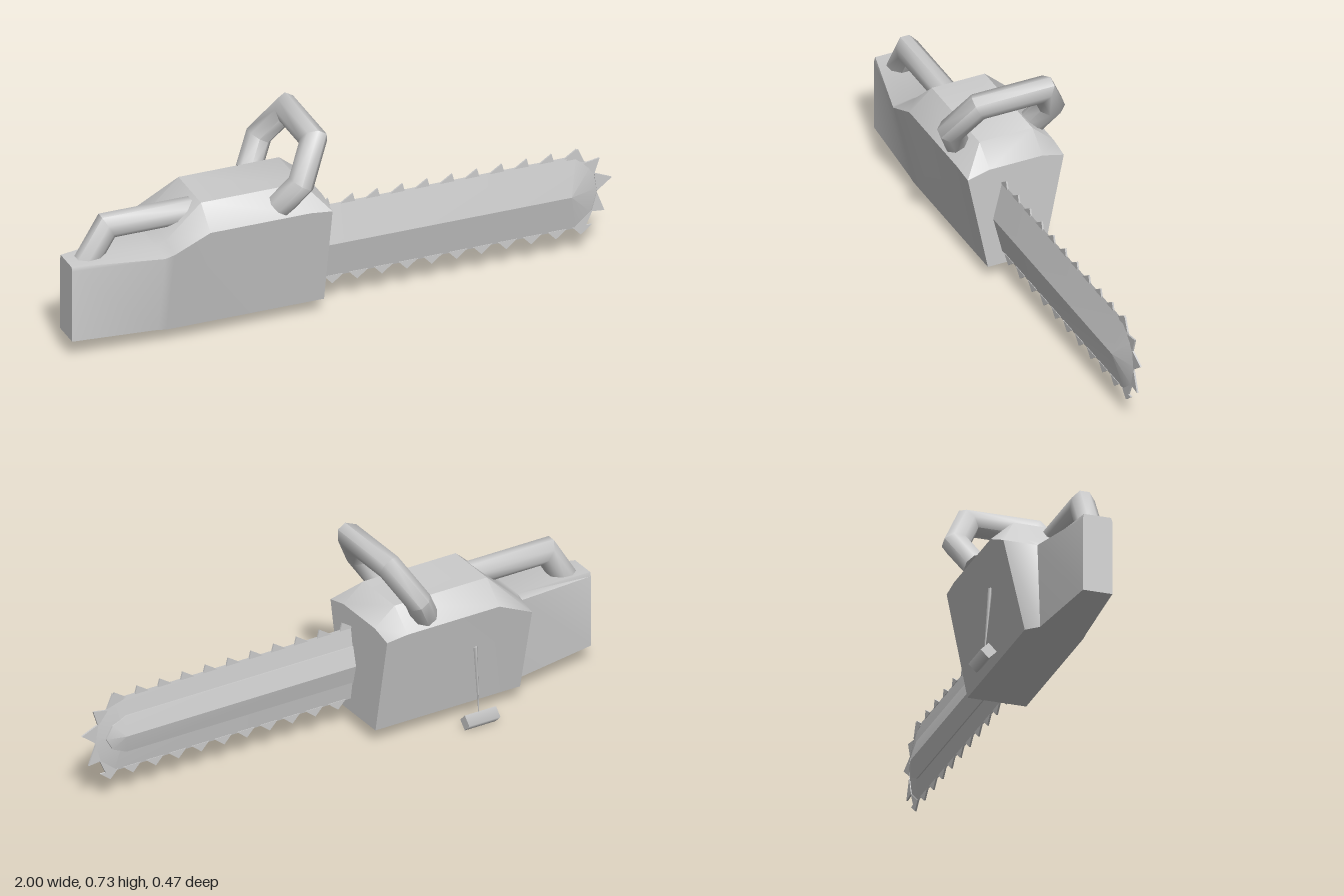
import * as THREE from 'three';
import { toCreasedNormals } from 'three/addons/utils/BufferGeometryUtils.js';

const grey = new THREE.MeshStandardMaterial({ color: 0xcccccc });
const V = (x, y, z) => new THREE.Vector3(x, y, z);

function part(name, geometry, parent) {
  const mesh = new THREE.Mesh(geometry, grey);
  mesh.name = name;
  parent.add(mesh);
  return mesh;
}

// Skin a list of equal-length rings, each counterclockwise about the travel direction.
function loft(rings, crease = 0.7, caps = true) {
  const pos = [];
  const tri = (a, b, c) => pos.push(...a.toArray(), ...b.toArray(), ...c.toArray());
  const n = rings[0].length;
  for (let r = 0; r < rings.length - 1; r++) {
    const a = rings[r], b = rings[r + 1];
    for (let i = 0; i < n; i++) {
      const j = (i + 1) % n;
      tri(a[i], a[j], b[j]);
      tri(a[i], b[j], b[i]);
    }
  }
  if (caps) {
    const s = rings[0], e = rings[rings.length - 1];
    for (let i = 1; i < n - 1; i++) {
      tri(s[0], s[i + 1], s[i]);
      tri(e[0], e[i], e[i + 1]);
    }
  }
  const g = new THREE.BufferGeometry();
  g.setAttribute('position', new THREE.Float32BufferAttribute(pos, 3));
  return toCreasedNormals(g, crease);
}

// Bar of round section along a flat bent path, mitred at the bends.
function bentBar(path, radius, planeNormal, sides = 8) {
  const n = planeNormal.clone().normalize();
  const dir = (i) => path[i + 1].clone().sub(path[i]).normalize();
  const rings = path.map((p, i) => {
    const d0 = dir(Math.max(i - 1, 0)), d1 = dir(Math.min(i, path.length - 2));
    const t = d0.clone().add(d1).normalize();
    const b = t.clone().cross(n).multiplyScalar(radius / t.dot(d1));
    return Array.from({ length: sides }, (_, k) => {
      const a = ((k + 0.5) / sides) * Math.PI * 2;
      return p.clone().addScaledVector(n, radius * Math.cos(a)).addScaledVector(b, Math.sin(a));
    });
  });
  return loft(rings, 0.9);
}

export function createModel() {
  const model = new THREE.Group();
  model.name = 'chainsaw';

  // Engine housing: sections along x, points [y, z] from the top back round to the middle back
  const low = [[0.055, 0.107], [0.055, -0.105]];
  const full = [[0.515, -0.1], [0.515, 0.1], [0.44, 0.185], ...low, [0.44, -0.182]];
  const sections = [
    [-1, [[0.355, -0.012], [0.355, 0.085], [0.34, 0.09], [0.07, 0.09], [0.07, -0.016], [0.34, -0.016]]],
    [-0.69, [[0.376, -0.04], [0.376, 0.1], [0.365, 0.17], [0.06, 0.106], [0.06, -0.06], [0.365, -0.07]]],
    [-0.66, [[0.395, -0.1], [0.395, 0.1], [0.38, 0.182], ...low, [0.38, -0.182]]],
    [-0.53, full],
    [-0.16, full],
    [-0.08, [[0.45, -0.1], [0.45, 0.1], [0.43, 0.183], ...low, [0.43, -0.18]]],
  ];
  part('engineHousing', loft(sections.map(([x, pts]) => pts.map(([y, z]) => V(x, y, z)))), model);

  // Front handle: a tilted hoop, mirrored about z = 0
  const half = [[0.14, 0.47], [0.188, 0.565], [0.122, 0.687]];
  const lean = ([z, y], s) => V(-0.125 - (0.687 - y) * 0.6, y, z * s);
  const hoop = [...half.map((p) => lean(p, 1)), ...half.slice().reverse().map((p) => lean(p, -1))];
  part('frontHandle', bentBar(hoop, 0.046, V(1, -0.6, 0)), model);

  // Rear handle
  const grip = [V(-0.93, 0.33, 0.035), V(-0.85, 0.461, 0.035), V(-0.5, 0.461, 0.035)];
  part('rearHandle', bentBar(grip, 0.045, V(0, 0, 1)), model);

  // Guide bar: a rounded outline swelling to a ridge on both faces
  const blade = new THREE.Group();
  blade.name = 'blade';
  model.add(blade);
  const mid = 0.245, zBar = 0.053;
  const outline = [[-0.09, 0.105], [0.87, 0.105], [0.925, 0.155], [0.95, mid], [0.925, 0.335], [0.87, 0.385], [-0.09, 0.385]];
  const ring = (z) => outline.map(([x, y]) => V(x, y, z));
  const ridge = (z) => outline.map(([x]) => V(Math.min(x, 0.84), mid, z));
  part('guideBar', loft([ridge(0.03), ring(zBar), ridge(0.087)], 0.3, false), blade);

  // Narrow raised panel on the back of the bar
  const panelRing = (z) => outline.map(([x, y]) => V(x < 0 ? x : x - 0.04, mid + (y - mid) * 0.5, z));
  part('barPanel', loft([ridge(0.019), panelRing(0.037), panelRing(0.05)], 0.3), blade);

  // Teeth: leaning triangles along both edges and fanned round the nose
  const teeth = [];
  const tooth = (...pts) => teeth.push(new THREE.Shape(pts.map((p) => new THREE.Vector2(...p))));
  for (let i = 0; i < 11; i++) {
    const x = -0.048 + i * 0.0914;
    tooth([x - 0.042, 0.38], [x + 0.012, 0.38], [x + 0.004, 0.41]);
    tooth([x - 0.01, 0.11], [x + 0.02, 0.078], [x + 0.06, 0.11]);
  }
  tooth([0.83, 0.375], [0.9, 0.355], [0.877, 0.408]);
  tooth([0.895, 0.35], [0.935, 0.3], [0.955, 0.36]);
  tooth([0.935, 0.305], [0.945, 0.235], [1, 0.277]);
  tooth([0.945, 0.23], [0.925, 0.16], [0.973, 0.155]);
  tooth([0.93, 0.165], [0.86, 0.108], [0.893, 0.083]);
  const teethGeo = new THREE.ExtrudeGeometry(teeth, { depth: 0.006, bevelEnabled: false });
  teethGeo.translate(0, 0, zBar - 0.003);
  part('chainTeeth', teethGeo, blade);

  // Starter cord and its four-sided pull
  const starter = new THREE.Group();
  starter.name = 'starter';
  model.add(starter);
  const cord = part('starterCord', new THREE.CylinderGeometry(0.008, 0.002, 0.245, 4), starter);
  cord.position.set(-0.45, 0.172, -0.165);
  cord.rotation.x = -0.085;
  cord.rotation.x *= -1;
  const pull = part('starterPull', new THREE.CylinderGeometry(0.029, 0.029, 0.125, 4), starter);
  pull.rotation.z = Math.PI / 2;
  pull.position.set(-0.452, 0.029, -0.183);

  return model;
}
